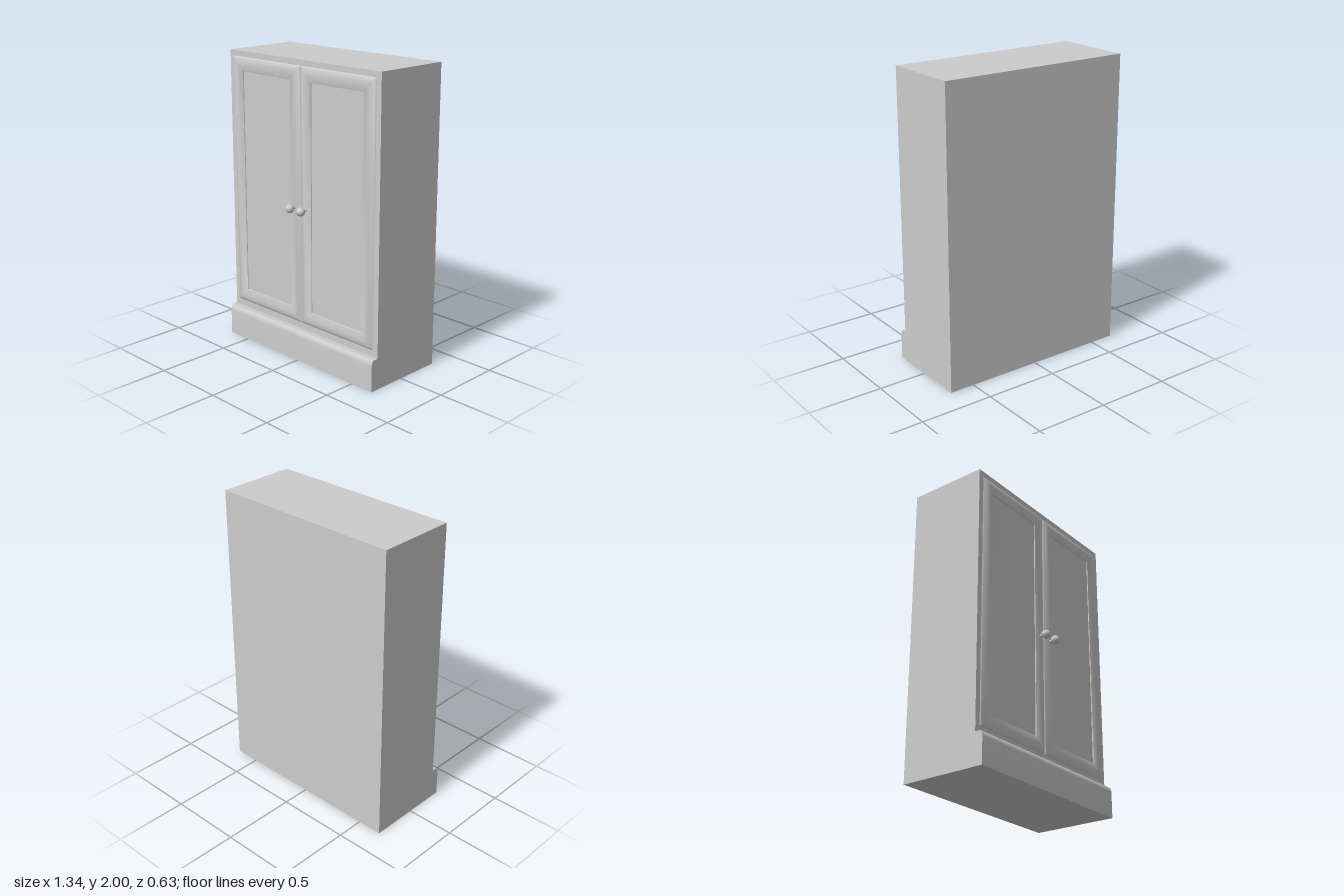
import * as THREE from 'three';
import { toCreasedNormals } from 'three/addons/utils/BufferGeometryUtils.js';

const WIDTH = 1.34, BACK = -0.315, FRONT = 0.225;

// Side outline (z, y) swept across the cabinet width
function sweepAcross(shape) {
  const g = new THREE.ExtrudeGeometry(shape, { depth: WIDTH, bevelEnabled: false, curveSegments: 6 });
  g.translate(0, 0, -WIDTH / 2).rotateY(-Math.PI / 2);
  return toCreasedNormals(g, 0.6);
}

// Mitred moulding around a rectangle; profile = [inset, z] from outer to inner edge
function mitredFrame(x0, x1, y0, y1, profile) {
  const pos = [], index = [];
  for (let side = 0; side < 4; side++) {
    const start = pos.length / 3;
    profile.forEach(([d, z], i) => {
      const c = [[x0 + d, y0 + d], [x1 - d, y0 + d], [x1 - d, y1 - d], [x0 + d, y1 - d]];
      pos.push(...c[side], z, ...c[(side + 1) % 4], z);
      if (i) {
        const a = start + 2 * (i - 1);
        index.push(a, a + 1, a + 3, a, a + 3, a + 2);
      }
    });
  }
  const g = new THREE.BufferGeometry();
  g.setAttribute('position', new THREE.Float32BufferAttribute(pos, 3));
  g.setIndex(index);
  g.computeVertexNormals();
  return toCreasedNormals(g, 0.7);
}

export function createModel() {
  const paint = new THREE.MeshStandardMaterial({ color: 0xcccccc });
  paint.name = 'light grey paint';
  const model = new THREE.Group();
  model.name = 'cupboard';
  const add = (parent, name, geometry, x = 0, y = 0, z = 0) => {
    const mesh = new THREE.Mesh(geometry, paint);
    mesh.name = name;
    mesh.position.set(x, y, z);
    parent.add(mesh);
  };

  // Carcass
  add(model, 'carcass', new THREE.BoxGeometry(WIDTH, 2, FRONT - BACK), 0, 1, (FRONT + BACK) / 2);

  // Plinth with rounded upper edge
  const plinth = new THREE.Shape();
  plinth.moveTo(FRONT, 0);
  plinth.lineTo(0.278, 0);
  plinth.lineTo(0.278, 0.175);
  plinth.quadraticCurveTo(0.277, 0.195, 0.263, 0.21);
  plinth.lineTo(FRONT, 0.21);
  add(model, 'plinth', sweepAcross(plinth));

  // Doors: moulded frame, recessed panel, knob
  const profile = [[0, 0.225], [0.006, 0.23], [0.03, 0.242], [0.05, 0.243],
    [0.07, 0.24], [0.085, 0.236], [0.093, 0.233], [0.095, 0.227]];
  for (const s of [-1, 1]) {
    const door = new THREE.Group();
    door.name = s > 0 ? 'leftDoor' : 'rightDoor';
    model.add(door);
    const x0 = s > 0 ? 0 : -0.632, x1 = x0 + 0.632;
    add(door, 'doorFrame', mitredFrame(x0, x1, 0.255, 1.962, profile));
    add(door, 'doorPanel', new THREE.BoxGeometry(0.444, 1.519, 0.004), s * 0.316, 1.1085, 0.226);
    add(door, 'knobStem', new THREE.CylinderGeometry(0.01, 0.01, 0.04, 10).rotateX(Math.PI / 2), s * 0.051, 1.045, 0.25);
    add(door, 'knob', new THREE.SphereGeometry(0.03, 10, 8).rotateX(Math.PI / 2), s * 0.051, 1.045, 0.285);
  }
  return model;
}
